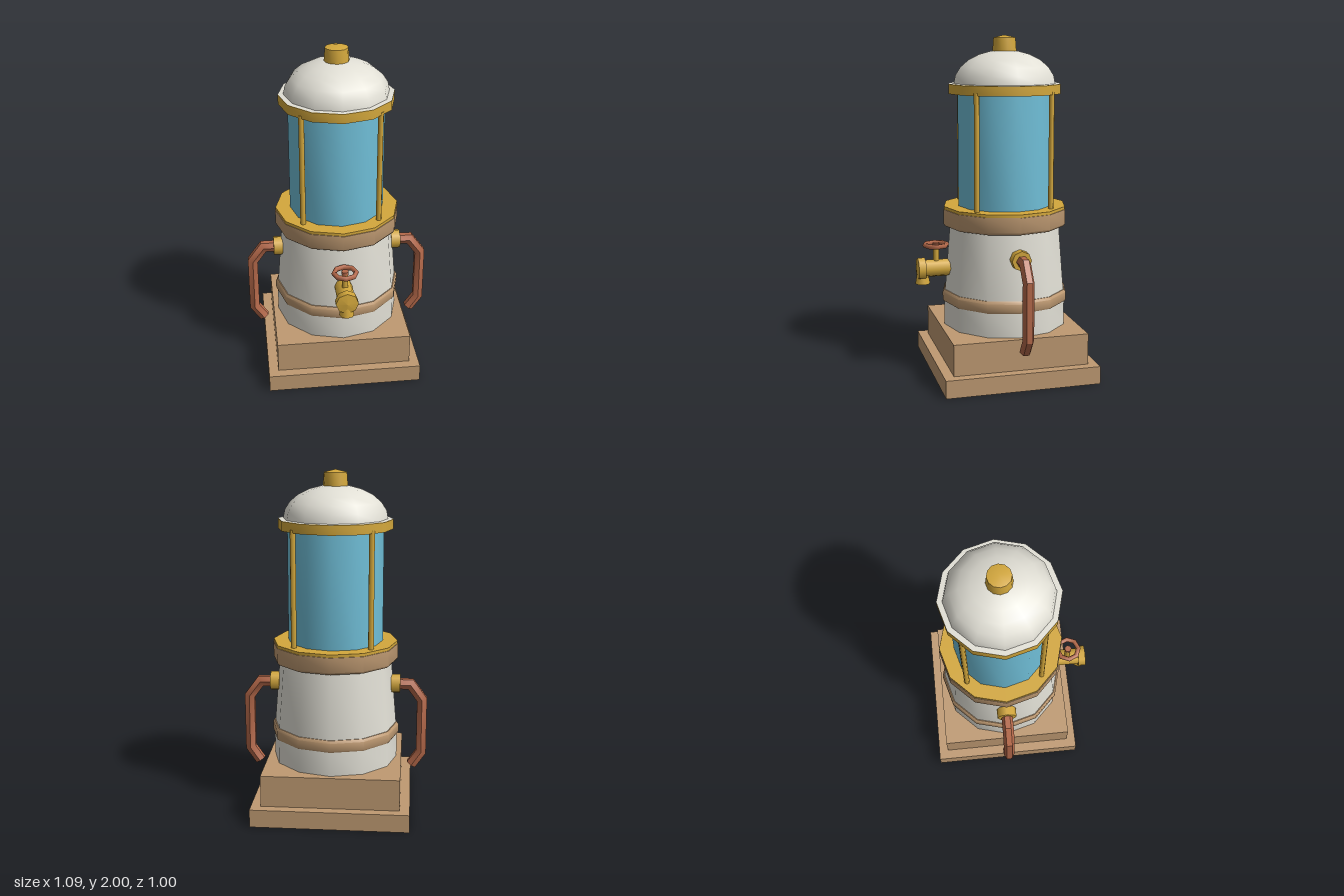
import * as THREE from 'three';
import { toCreasedNormals } from 'three/addons/utils/BufferGeometryUtils.js';

const mat = (name, color) => {
  const m = new THREE.MeshStandardMaterial({ color });
  m.name = name;
  return m;
};

export function createModel() {
  const wood = mat('tan', 0xbf9a72);
  const white = mat('off white', 0xe2e0d6);
  const brass = mat('brass', 0xd4a83c);
  const glass = mat('blue glass', 0x70bfd8);
  const copper = mat('copper', 0xb5694a);

  const model = new THREE.Group();
  model.name = 'lanternBoiler';
  // Everything is built around the body axis, which sits slightly behind z = 0
  const body = new THREE.Group();
  body.name = 'body';
  body.position.z = -0.043;
  model.add(body);

  const add = (name, geo, material, x = 0, y = 0, z = 0, parent = body) => {
    const mesh = new THREE.Mesh(geo, material);
    mesh.name = name;
    mesh.position.set(x, y, z);
    parent.add(mesh);
    return mesh;
  };
  // Twelve-sided turned part; profile runs from bottom to top as [radius, y]
  const turned = (name, profile, material, sides = 12) =>
    add(name, toCreasedNormals(new THREE.LatheGeometry(
      profile.map(([r, y]) => new THREE.Vector2(r, y)), sides), 0.7), material);

  // Stepped plinth
  add('plinthBase', new THREE.BoxGeometry(0.915, 0.105, 0.915), wood, 0, 0.0525);
  add('plinthStep', new THREE.BoxGeometry(0.8, 0.185, 0.8), wood, 0, 0.1975);

  // Tank
  turned('tankFoot', [[0.37, 0.29], [0.37, 0.44]], white);
  turned('tankBand', [[0.35, 0.435], [0.375, 0.435], [0.38, 0.445], [0.38, 0.49], [0.37, 0.505], [0.34, 0.505]], wood);
  turned('tankWall', [[0.366, 0.49], [0.332, 0.9]], white);
  turned('collar', [[0.3, 0.89], [0.36, 0.89], [0.37, 0.903], [0.37, 0.99], [0.36, 0.992]], wood);
  turned('collarPlate', [[0.367, 0.988], [0.367, 1.008], [0, 1.008]], brass);

  // Glass chamber with four guard bars
  turned('glassCylinder', [[0.28, 1.0], [0.28, 1.67]], glass);
  for (const sx of [-1, 1]) for (const sz of [-1, 1]) {
    add('guardBar', new THREE.CylinderGeometry(0.016, 0.016, 0.68, 8), brass, sx * 0.22, 1.34, sz * 0.22);
  }

  // Cap
  turned('capRing', [[0.27, 1.665], [0.333, 1.665], [0.333, 1.72], [0.325, 1.722]], brass);
  turned('capBrim', [[0.333, 1.722], [0.28, 1.724]], white);
  const dome = [];
  for (let i = 0; i <= 6; i++) {
    const a = (i / 6) * Math.PI / 2;
    dome.push([0.303 * Math.cos(a), 1.72 + 0.195 * Math.sin(a)]);
  }
  dome[6][0] = 0;
  turned('dome', dome, white);
  turned('finial', [[0.072, 1.905], [0.066, 1.985], [0, 2.0]], brass);

  // Bent hexagonal pipe with mitred corners, lying in the x-y plane
  const pipe = (path, radius) => {
    const pts = path.map(([x, y]) => new THREE.Vector2(x, y));
    const pos = [], index = [], n = 6;
    pts.forEach((p, i) => {
      const into = (i ? p.clone().sub(pts[i - 1]) : pts[1].clone().sub(p)).normalize();
      const out = (i < pts.length - 1 ? pts[i + 1].clone().sub(p) : into.clone()).normalize();
      const t = into.clone().add(out).normalize();
      const miter = 1 / t.dot(into);
      for (let j = 0; j < n; j++) {
        const a = (j / n) * Math.PI * 2;
        const s = Math.sin(a) * radius * miter;
        pos.push(p.x - t.y * s, p.y + t.x * s, Math.cos(a) * radius);
      }
    });
    for (let i = 0; i < pts.length - 1; i++) for (let j = 0; j < n; j++) {
      const a = i * n + j, b = i * n + (j + 1) % n;
      index.push(a, a + n, b, b, a + n, b + n);
    }
    const last = (pts.length - 1) * n;
    for (let j = 1; j < n - 1; j++) {
      index.push(0, j, j + 1, last, last + j + 1, last + j);
    }
    const g = new THREE.BufferGeometry();
    g.setAttribute('position', new THREE.Float32BufferAttribute(pos, 3));
    g.setIndex(index);
    return toCreasedNormals(g, 0.5);
  };
  copper.side = THREE.DoubleSide;

  // Side handles, the second turned half way round
  for (const side of ['left', 'right']) {
    const handle = new THREE.Group();
    handle.name = side + 'Handle';
    if (side === 'right') handle.rotation.y = Math.PI;
    body.add(handle);
    add('handleBoss', new THREE.CylinderGeometry(0.058, 0.058, 0.055, 8), brass, 0.36, 0.745, 0, handle)
      .rotation.z = -Math.PI / 2;
    add('handlePipe', pipe([[0.33, 0.743], [0.45, 0.743], [0.518, 0.65], [0.518, 0.322], [0.46, 0.238]], 0.034),
      copper, 0, 0, 0, handle);
  }

  // Front tap
  const tap = new THREE.Group();
  tap.name = 'tap';
  model.add(tap);
  const barrel = (name, rFront, rBack, z0, z1) =>
    add(name, new THREE.CylinderGeometry(rFront, rBack, z1 - z0, 8), brass, 0, 0.64, (z0 + z1) / 2, tap)
      .rotation.x = Math.PI / 2;
  barrel('tapBarrel', 0.052, 0.052, 0.27, 0.45);
  barrel('tapFlange', 0.066, 0.066, 0.443, 0.486);
  barrel('tapNose', 0, 0.066, 0.486, 0.495);
  add('tapSpout', new THREE.CylinderGeometry(0.032, 0.044, 0.07, 8), brass, 0, 0.585, 0.457, tap);
  add('tapStem', new THREE.CylinderGeometry(0.018, 0.018, 0.12, 8), brass, 0, 0.725, 0.375, tap);
  add('tapHub', new THREE.CylinderGeometry(0.021, 0.021, 0.02, 8), copper, 0, 0.782, 0.375, tap);
  add('tapWheel', new THREE.TorusGeometry(0.065, 0.015, 6, 8), copper, 0, 0.78, 0.375, tap)
    .rotation.x = Math.PI / 2;

  return model;
}
